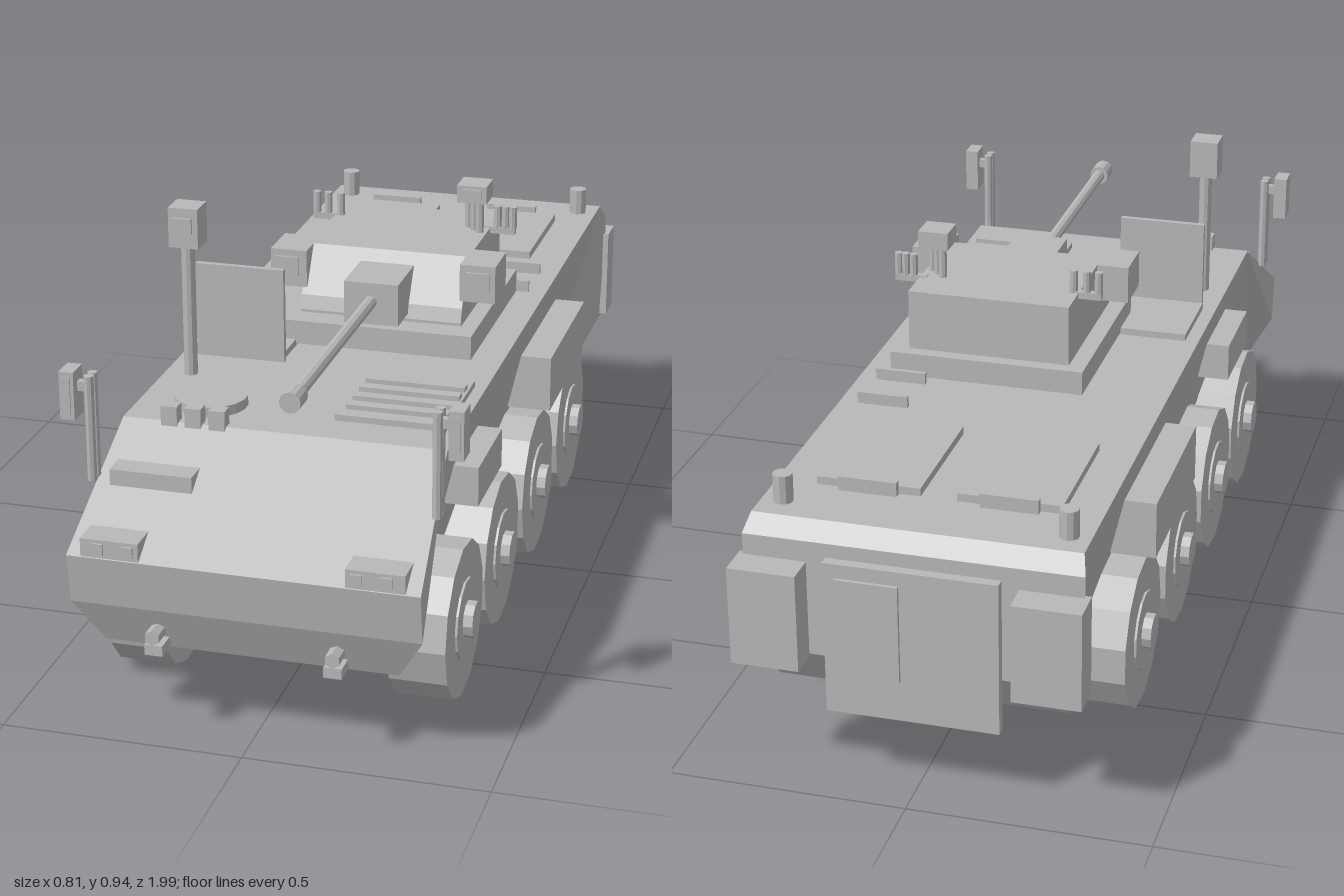
import * as THREE from 'three';

export function createModel() {
  const model = new THREE.Group();
  model.name = 'armouredVehicle';
  const grey = new THREE.MeshStandardMaterial({ color: 0xb8b8b8, flatShading: true });
  grey.name = 'plainGrey';

  const add = (name, geometry) => {
    const mesh = new THREE.Mesh(geometry, grey);
    mesh.name = name;
    model.add(mesh);
    return mesh;
  };
  // Box given by its limits on each axis
  const box = (name, x0, x1, y0, y1, z0, z1) => {
    const mesh = add(name, new THREE.BoxGeometry(x1 - x0, y1 - y0, z1 - z0));
    mesh.position.set((x0 + x1) / 2, (y0 + y1) / 2, (z0 + z1) / 2);
    return mesh;
  };
  const boxPair = (name, x0, x1, ...rest) => {
    box(name + 'Left', x0, x1, ...rest);
    box(name + 'Right', -x1, -x0, ...rest);
  };
  // Cylinder along a chosen axis
  const rod = (name, axis, r, length, x, y, z, sides = 12) => {
    const g = new THREE.CylinderGeometry(r, r, length, sides);
    if (axis === 'x') g.rotateZ(Math.PI / 2);
    if (axis === 'z') g.rotateX(Math.PI / 2);
    const mesh = add(name, g);
    mesh.position.set(x, y, z);
    return mesh;
  };

  // Hull: one outline of half-widths, mirrored and bridged across
  const outline = [
    [0.335, 0.565, 0.7], [0.355, 0.385, 0.985], [0.355, 0.28, 0.97], [0.3, 0.185, 0.93], [0.23, 0.11, 0.79],
    [0.23, 0.11, -0.74], [0.3, 0.19, -0.87], [0.345, 0.28, -0.93], [0.345, 0.53, -0.93], [0.335, 0.565, -0.9],
  ];
  const verts = [];
  const mirror = ([x, y, z]) => [-x, y, z];
  const tri = (a, b, c) => verts.push(...a, ...b, ...c);
  outline.forEach((a, i) => {
    const d = outline[(i + 1) % outline.length];
    tri(a, mirror(a), mirror(d));
    tri(a, mirror(d), d);
  });
  const fans = [[0, 1, 2], [0, 2, 3], [0, 3, 4], [0, 4, 5], [0, 5, 9], [9, 5, 6], [9, 6, 7], [9, 7, 8]];
  for (const f of fans) {
    const [a, b, c] = f.map(i => outline[i]);
    tri(a, b, c);
    tri(mirror(a), mirror(c), mirror(b));
  }
  const hull = new THREE.BufferGeometry();
  hull.setAttribute('position', new THREE.Float32BufferAttribute(verts, 3));
  hull.computeVertexNormals();
  add('hull', hull);

  // Eight wheels with rims and hubs
  for (const s of [1, -1]) {
    for (const z of [0.62, 0.275, -0.095, -0.47]) {
      rod('wheel', 'x', 0.165, 0.12, s * 0.295, 0.163, z, 13);
      rod('wheelRim', 'x', 0.085, 0.01, s * 0.355, 0.165, z, 13);
      rod('wheelHub', 'x', 0.038, 0.12, s * 0.32, 0.165, z, 10);
    }
    // Mirrors on stalks
    for (const z of [0.82, 0.842]) rod('mirrorStalk', 'y', 0.01, 0.22, s * 0.35, 0.595, z, 8);
    // Towing eyes
    rod('towEye', 'z', 0.016, 0.05, s * 0.182, 0.23, 0.965, 6);
    // Rear roof caps
    rod('roofCap', 'y', 0.02, 0.06, s * 0.29, 0.595, -0.84, 10);
  }
  boxPair('mirror', 0.375, 0.405, 0.615, 0.715, 0.81, 0.86);
  boxPair('mirrorFace', 0.382, 0.398, 0.625, 0.705, 0.86, 0.863);
  boxPair('mirrorArm', 0.345, 0.38, 0.67, 0.69, 0.825, 0.84);
  boxPair('towBracket', 0.163, 0.2, 0.19, 0.212, 0.92, 0.985);
  boxPair('headlightBox', 0.207, 0.325, 0.387, 0.425, 0.9, 0.985);
  boxPair('innerHeadlight', 0.217, 0.24, 0.395, 0.418, 0.985, 0.99);
  boxPair('outerHeadlight', 0.278, 0.3, 0.395, 0.418, 0.985, 0.99);
  boxPair('frontSidePanel', 0.27, 0.365, 0.385, 0.47, 0.34, 0.555);
  boxPair('rearSidePanel', 0.27, 0.38, 0.34, 0.465, -0.475, -0.09);

  // Rear end
  boxPair('rearBin', 0.215, 0.355, 0.275, 0.485, -0.995, -0.92);
  box('rearRamp', -0.18, 0.175, 0.17, 0.5, -0.952, -0.93);
  box('rearDoor', 0.02, 0.15, 0.26, 0.47, -0.96, -0.952);

  // Roof details
  box('rearHatchRight', -0.255, -0.04, 0.56, 0.582, -0.755, -0.46);
  box('rearHatchLeft', 0.035, 0.25, 0.56, 0.582, -0.755, -0.46);
  box('hatchHingeRight', -0.21, -0.09, 0.56, 0.595, -0.77, -0.755);
  box('hatchHingeLeft', 0.08, 0.2, 0.56, 0.595, -0.77, -0.755);
  for (const z of [-0.365, -0.24]) box('roofRail', 0.185, 0.295, 0.56, 0.59, z - 0.005, z + 0.005);
  box('engineGrille', 0.08, 0.31, 0.56, 0.578, 0.36, 0.61);
  for (let i = 0; i < 4; i++) {
    const z = 0.418 + i * 0.049;
    box('grilleSlat', 0.095, 0.305, 0.575, 0.588, z - 0.012, z + 0.012);
  }
  box('commanderHatch', -0.305, -0.115, 0.56, 0.58, 0.13, 0.32);
  box('raisedHatchLid', -0.303, -0.11, 0.56, 0.77, 0.318, 0.331);
  rod('driverHatch', 'y', 0.075, 0.025, -0.185, 0.574, 0.59, 18);
  for (const x of [-0.235, -0.185, -0.135]) box('periscope', x - 0.017, x + 0.017, 0.555, 0.6, 0.68, 0.71);
  const noseStrip = box('noseStrip', -0.315, -0.145, 0.475, 0.51, 0.785, 0.84);
  noseStrip.name = 'noseStep';

  // Sensor mast
  rod('mast', 'y', 0.014, 0.3, -0.28, 0.71, 0.44, 10);
  box('mastHead', -0.311, -0.248, 0.85, 0.935, 0.41, 0.47);
  box('mastLens', -0.3, -0.26, 0.883, 0.915, 0.47, 0.476);

  // Turret: stepped base and sloped body
  box('turretBase', -0.157, 0.27, 0.57, 0.622, -0.22, 0.228);
  box('turretRing', -0.12, 0.235, 0.62, 0.635, -0.19, 0.17);
  const side = new THREE.Shape();
  side.moveTo(-0.195, 0.63);
  side.lineTo(0.175, 0.63);
  side.lineTo(0.165, 0.66);
  side.lineTo(0.105, 0.757);
  side.lineTo(-0.195, 0.757);
  const body = new THREE.ExtrudeGeometry(side, { depth: 0.355, bevelEnabled: false });
  body.rotateY(-Math.PI / 2);
  body.translate(0.235, 0, 0);
  add('turretBody', body);

  // Gun
  box('gunMantlet', 0, 0.118, 0.64, 0.732, 0.12, 0.255);
  rod('gunBarrel', 'z', 0.014, 0.58, 0.058, 0.69, 0.53, 10);
  rod('gunMuzzle', 'z', 0.022, 0.05, 0.058, 0.69, 0.815, 12);

  // Turret side sights
  box('turretSightLeft', 0.228, 0.305, 0.675, 0.757, 0.055, 0.16);
  box('turretLensLeft', 0.243, 0.293, 0.7, 0.742, 0.16, 0.166);
  box('turretSightRight', -0.19, -0.11, 0.675, 0.757, 0.055, 0.16);
  box('turretLensRight', -0.178, -0.128, 0.7, 0.742, 0.16, 0.166);

  // Smoke tubes beside the turret
  for (const x of [-0.163, -0.137, -0.108, 0.25, 0.268, 0.284]) rod('smokeTube', 'y', 0.009, 0.05, x, 0.782, -0.105, 8);
  box('smokeBracketRight', -0.17, -0.1, 0.745, 0.76, -0.113, -0.097);
  box('smokeBracketLeft', 0.22, 0.29, 0.745, 0.76, -0.113, -0.097);

  // Roof sight on posts
  for (const x of [0.187, 0.203, 0.219]) rod('roofSightPost', 'y', 0.009, 0.08, x, 0.79, -0.08 + (x - 0.203), 8);
  box('roofSight', 0.17, 0.236, 0.825, 0.864, -0.115, -0.05);
  box('roofSightLens', 0.18, 0.226, 0.834, 0.857, -0.05, -0.045);

  return model;
}
